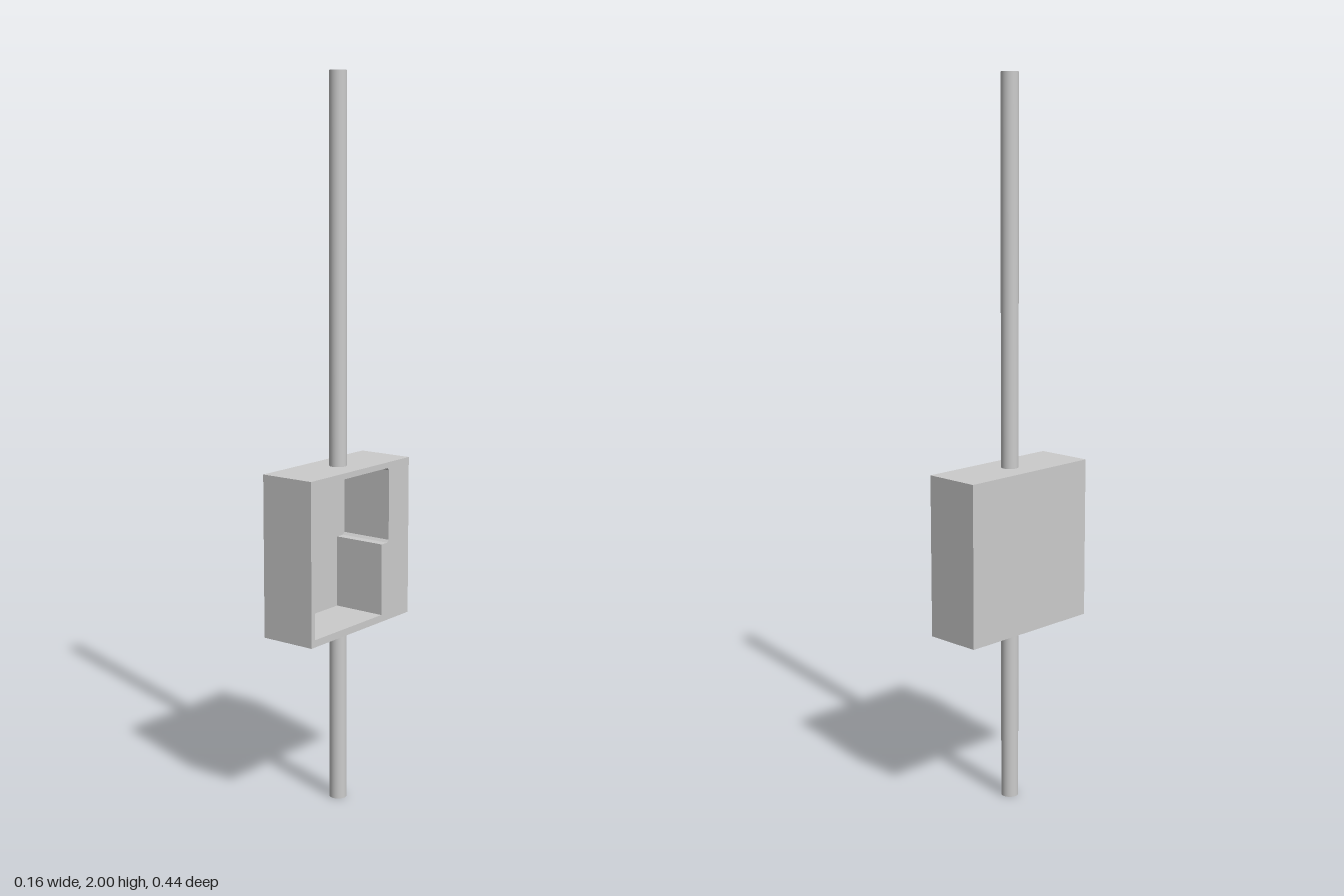
import * as THREE from 'three';

const BOX = { x0: -0.081, x1: 0.081, y0: 0.502, y1: 0.951, z: 0.219 };
const BACK = 0.007; // thickness of the closed side
const ROD_RADIUS = 0.024;

export function createModel() {
  const group = new THREE.Group();
  const material = new THREE.MeshStandardMaterial({ color: 0xcccccc });

  const add = (name, geometry) => {
    const mesh = new THREE.Mesh(geometry, material);
    mesh.name = name;
    group.add(mesh);
    return mesh;
  };

  // Housing walls: outline with a stepped pocket, drawn in (-z, y) and extruded along x
  const outline = new THREE.Shape([
    [-BOX.z, BOX.y0], [BOX.z, BOX.y0], [BOX.z, BOX.y1], [-BOX.z, BOX.y1],
  ].map(([u, v]) => new THREE.Vector2(u, v)));
  outline.holes.push(new THREE.Path([
    [-0.204, 0.522], [-0.204, 0.935], [0.118, 0.935], [0.125, 0.928],
    [0.125, 0.731], [0.118, 0.724], [0.092, 0.724], [0.092, 0.522],
  ].map(([u, v]) => new THREE.Vector2(u, v))));
  const walls = new THREE.ExtrudeGeometry(outline, {
    depth: BOX.x1 - BOX.x0 - BACK, bevelEnabled: false,
  });
  walls.rotateY(Math.PI / 2).translate(BOX.x0 + BACK, 0, 0);
  add('housingWalls', walls);

  // Closed side of the housing
  const back = new THREE.BoxGeometry(BACK, BOX.y1 - BOX.y0, 2 * BOX.z);
  add('housingBackPanel', back.translate(BOX.x0 + BACK / 2, (BOX.y0 + BOX.y1) / 2, 0));

  // Rods above and below the housing
  const addRod = (name, y0, y1) => {
    const rod = new THREE.CylinderGeometry(ROD_RADIUS, ROD_RADIUS, y1 - y0, 32);
    add(name, rod.translate(0, (y0 + y1) / 2, 0));
  };
  addRod('lowerRod', 0, BOX.y0);
  addRod('upperRod', BOX.y1, 2);

  return group;
}
